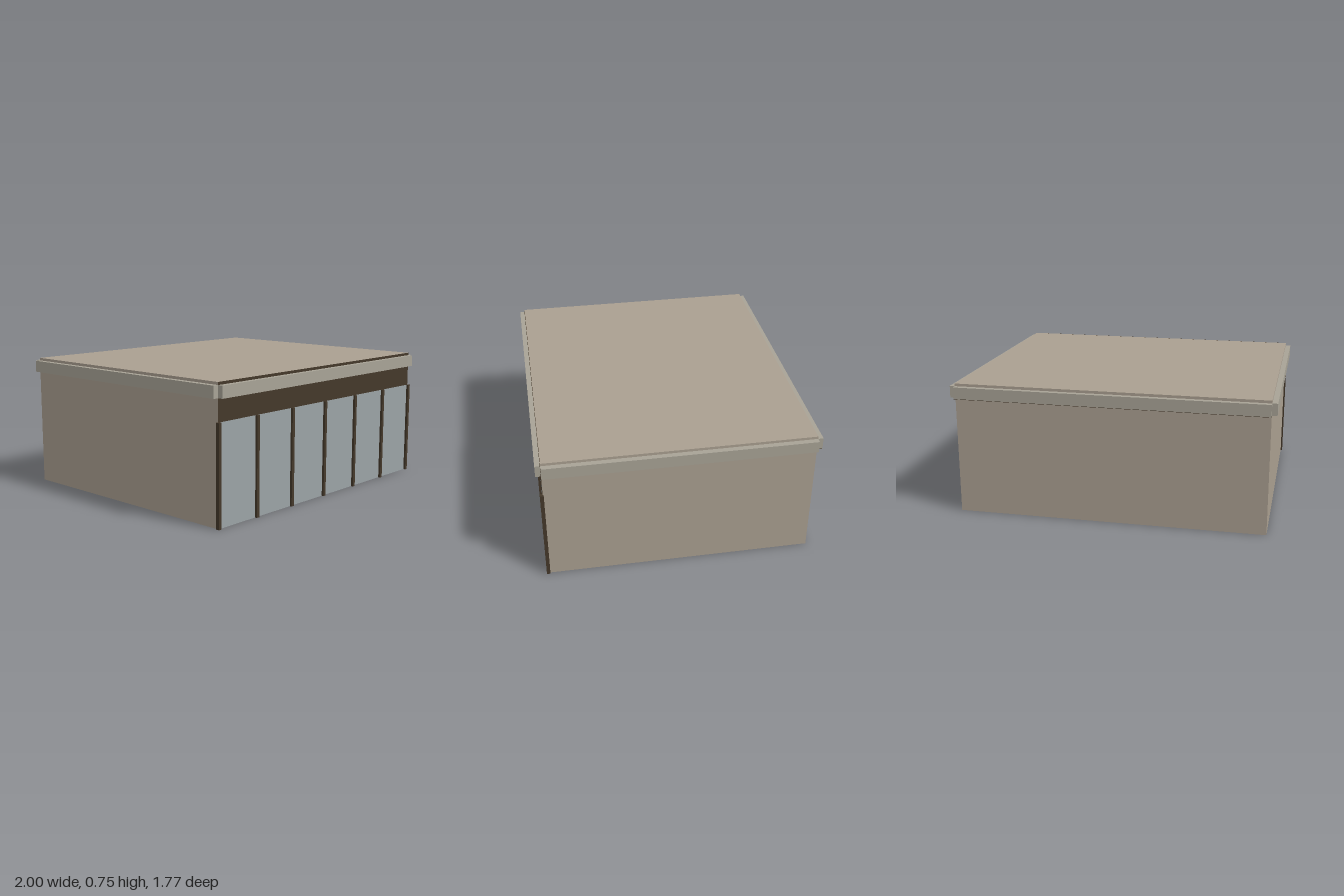
import * as THREE from 'three';

const W = 1.744, D = 1.476, H = 0.753; // plan size and height of the building

const mat = (color) => new THREE.MeshStandardMaterial({ color, flatShading: true });

export function createModel() {
  const model = new THREE.Group();
  model.name = 'building';
  const wall = mat(0xaa9f90), trim = mat(0xa8a396), dark = mat(0x44382a), glass = mat(0x9ba3a6);

  const box = (name, material, w, h, d, x, y, z) => {
    const mesh = new THREE.Mesh(new THREE.BoxGeometry(w, h, d), material);
    mesh.name = name;
    mesh.position.set(x, y, z);
    model.add(mesh);
    return mesh;
  };

  // Solid body with a flat roof
  box('walls', wall, W, H, D, 0, H / 2, 0);

  // Shopfront: glazing below a dark header that reaches the roof
  const glassTop = 0.55, skin = 0.002, front = D / 2;
  box('glazing', glass, W, glassTop, skin, 0, glassTop / 2, front + skin / 2);
  box('header', dark, W, H - glassTop, skin, 0, (H + glassTop) / 2, front + skin / 2);

  // Seven evenly spaced posts
  for (let i = 0; i < 7; i++) {
    box('post', dark, 0.019, glassTop, 0.02, (i / 6 - 0.5) * W, glassTop / 2, front + 0.005);
  }

  // Fascia boards on all four sides, leaving open notches at the corners
  const t = 0.03, bottom = 0.672, top = 0.738, h = top - bottom, y = (top + bottom) / 2;
  for (const s of [-1, 1]) {
    box('fascia', trim, W, h, t, 0, y, s * (D + t) / 2);
    box('sideFascia', trim, t, h, D, s * (W + t) / 2, y, 0);
  }

  // Dark soffit strip under the rear fascia
  box('rearSoffit', dark, W, 0.002, t, 0, bottom - 0.001, -(D + t) / 2);

  // The building stands slightly turned on its plot
  model.rotation.y = 0.1466;
  const root = new THREE.Group();
  root.add(model);
  return root;
}
